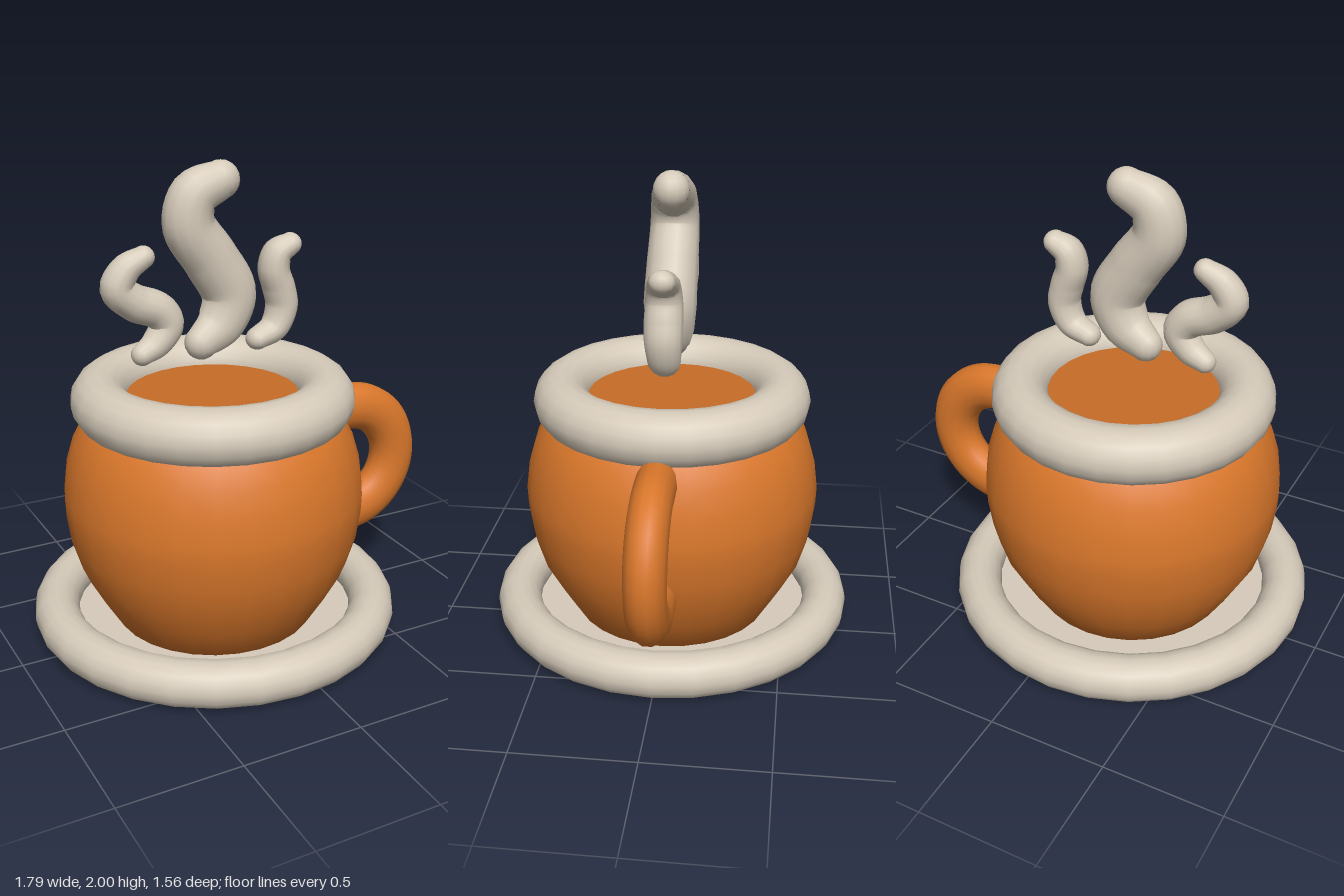
import * as THREE from 'three';

const CUP_X = -0.12;

export function createModel() {
  const model = new THREE.Group();
  model.name = 'steamingCup';

  const makeMaterial = (name, color) => {
    const m = new THREE.MeshStandardMaterial({ color });
    m.name = name;
    return m;
  };
  const orange = makeMaterial('orange', 0xd9772b);
  const drink = makeMaterial('drinkOrange', 0xc76c27);
  const cream = makeMaterial('cream', 0xd6cbba);

  const add = (name, geometry, material, x = 0, y = 0, parent = model) => {
    const mesh = new THREE.Mesh(geometry, material);
    mesh.name = name;
    mesh.position.set(x, y, 0);
    parent.add(mesh);
    return mesh;
  };

  // Horizontal ring lying around the cup axis
  const ring = (name, radius, tube, y) =>
    add(name, new THREE.TorusGeometry(radius, tube, 16, 28).rotateX(-Math.PI / 2), cream, CUP_X, y);

  // Saucer: rounded edge and flat floor
  ring('saucerEdge', 0.685, 0.095, 0.095);
  add('saucerFloor', new THREE.CylinderGeometry(0.7, 0.7, 0.06, 28), cream, CUP_X, 0.03);

  // Bulging cup body
  const profile = [
    [0, 0.05], [0.42, 0.05], [0.505, 0.19], [0.57, 0.31], [0.61, 0.44], [0.627, 0.56],
    [0.63, 0.64], [0.615, 0.76], [0.585, 0.86], [0.545, 0.94], [0.48, 1.02],
  ].map(([r, y]) => new THREE.Vector2(r, y));
  add('cupBody', new THREE.LatheGeometry(profile, 28), orange, CUP_X);

  // Thick rim and the drink inside it
  ring('cupRim', 0.47, 0.117, 1.035);
  add('drink', new THREE.CylinderGeometry(0.4, 0.4, 0.02, 28), drink, CUP_X, 1.04);

  // Handle: a half circle with short straight ends running into the body
  const handlePath = new THREE.CurvePath();
  const top = new THREE.Vector3(0.535, 0.875, 0);
  const bottom = new THREE.Vector3(0.535, 0.375, 0);
  const arc = [];
  for (let i = 0; i <= 12; i++) {
    const a = Math.PI / 2 - (Math.PI * i) / 12;
    arc.push(new THREE.Vector3(0.535 + 0.25 * Math.cos(a), 0.625 + 0.25 * Math.sin(a), 0));
  }
  handlePath.add(new THREE.LineCurve3(new THREE.Vector3(0.36, 0.875, 0), top));
  handlePath.add(new THREE.CatmullRomCurve3(arc));
  handlePath.add(new THREE.LineCurve3(bottom, new THREE.Vector3(0.38, 0.375, 0)));
  const handle = add('handle', new THREE.TubeGeometry(handlePath, 40, 0.105, 14), orange);
  handle.scale.z = 0.8;

  // Steam wisp: points are [x, y, radius]; a tube with varying radius and round ends
  const wisp = (name, points, depth) => {
    const group = new THREE.Group();
    group.name = name;
    group.scale.z = depth;
    const path = new THREE.CatmullRomCurve3(points.map(([x, y]) => new THREE.Vector3(x, y, 0)));
    const steps = 40, sides = 14;
    const geometry = new THREE.TubeGeometry(path, steps, 1, sides);
    const pos = geometry.attributes.position;
    const v = new THREE.Vector3();
    for (let i = 0; i <= steps; i++) {
      const center = path.getPointAt(i / steps);
      const t = path.getUtoTmapping(i / steps) * (points.length - 1);
      const k = Math.min(Math.floor(t), points.length - 2);
      const radius = THREE.MathUtils.lerp(points[k][2], points[k + 1][2], t - k);
      for (let j = 0; j <= sides; j++) {
        const n = i * (sides + 1) + j;
        v.fromBufferAttribute(pos, n).sub(center).multiplyScalar(radius).add(center);
        pos.setXYZ(n, v.x, v.y, v.z);
      }
    }
    add(name + 'Tube', geometry, cream, 0, 0, group);
    for (const [x, y, r] of [points[0], points[points.length - 1]]) {
      add(name + 'Tip', new THREE.SphereGeometry(r, 14, 10), cream, x, y, group);
    }
    model.add(group);
  };

  wisp('middleSteam', [
    [-0.17, 1.27, 0.07], [-0.085, 1.34, 0.1], [-0.045, 1.46, 0.115], [-0.125, 1.61, 0.112],
    [-0.22, 1.76, 0.107], [-0.195, 1.87, 0.1], [-0.08, 1.922, 0.078],
  ], 0.95);
  wisp('rightSteam', [
    [-0.415, 1.65, 0.045], [-0.49, 1.61, 0.06], [-0.528, 1.54, 0.068], [-0.46, 1.475, 0.075],
    [-0.36, 1.43, 0.075], [-0.322, 1.37, 0.07], [-0.37, 1.295, 0.06], [-0.43, 1.257, 0.045],
  ], 1.05);
  wisp('leftSteam', [
    [0.238, 1.635, 0.046], [0.18, 1.605, 0.06], [0.162, 1.54, 0.065], [0.185, 1.46, 0.068],
    [0.2, 1.38, 0.066], [0.165, 1.29, 0.058], [0.085, 1.25, 0.046],
  ], 1.15);

  return model;
}
